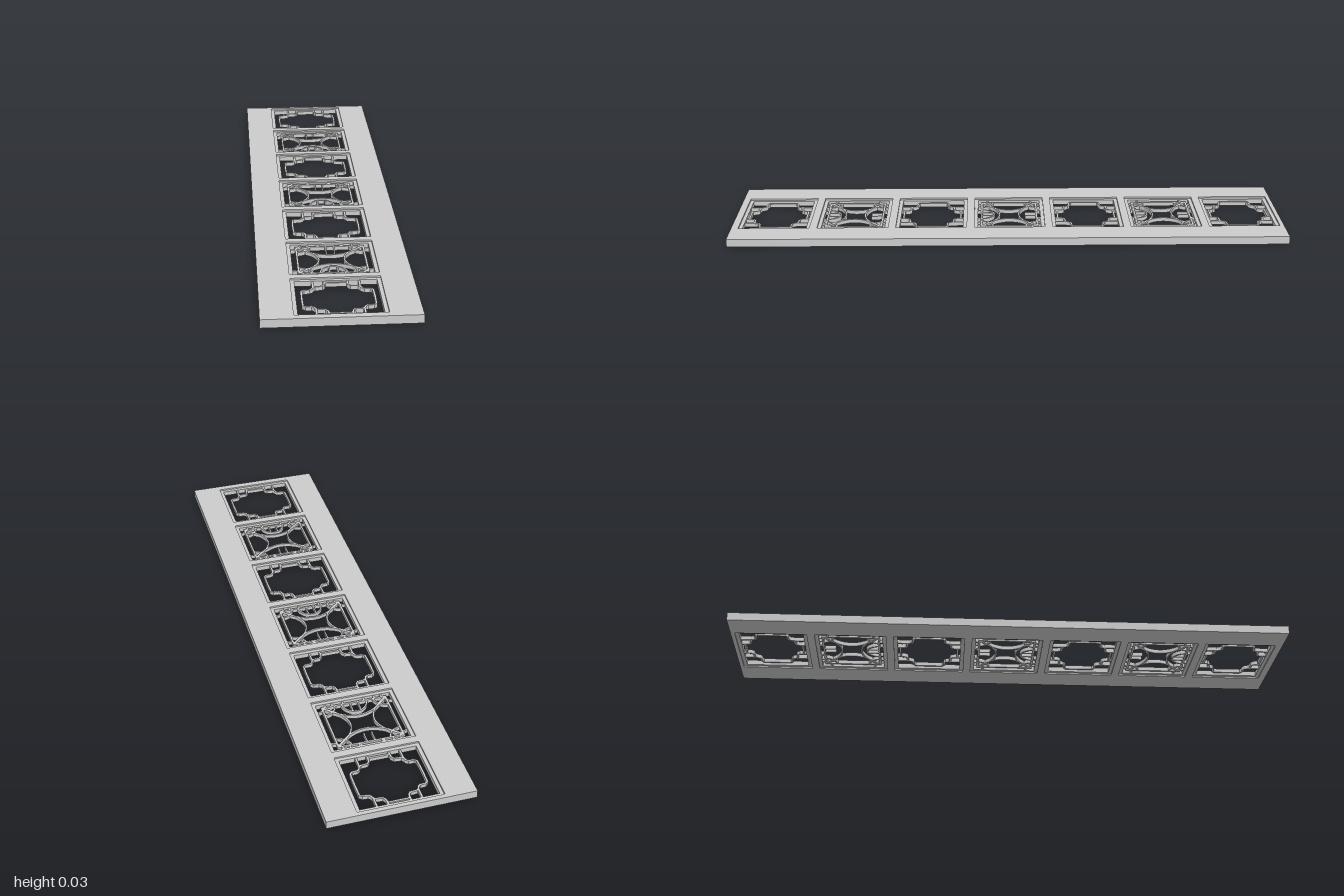
import * as THREE from 'three';

const material = new THREE.MeshStandardMaterial({ color: 0xcccccc, flatShading: true });
const V = (x, y) => new THREE.Vector2(x, y);
const PITCH = 0.284, HOLE_X = 0.147, HOLE_Z = 0.128, OFFSET = 0.005;

function rect(hx, hy, cy = 0, Type = THREE.Shape) {
  return new Type([V(-hx, cy - hy), V(hx, cy - hy), V(hx, cy + hy), V(-hx, cy + hy)]);
}

// Extrude a plan outline upward from y0 to y1
function slab(name, shapes, y0, y1) {
  const g = new THREE.ExtrudeGeometry(shapes, { depth: y1 - y0, bevelEnabled: false });
  g.rotateX(-Math.PI / 2);
  g.translate(0, y0, 0);
  const mesh = new THREE.Mesh(g, material);
  mesh.name = name;
  return mesh;
}

// Flat strip of constant width following a line of plan points
function strip(points, w = 0.007) {
  const left = [], right = [];
  points.forEach((p, i) => {
    const a = points[Math.max(i - 1, 0)], b = points[Math.min(i + 1, points.length - 1)];
    const n = V(a.y - b.y, b.x - a.x).normalize().multiplyScalar(w / 2);
    left.push(p.clone().add(n));
    right.unshift(p.clone().sub(n));
  });
  return new THREE.Shape([...left, ...right]);
}

function arc(cx, cy, rx, ry, a0, a1, n = 14) {
  return new THREE.EllipseCurve(cx, cy, rx, ry, a0, a1).getPoints(n);
}

function bow(a, b, c) {
  return new THREE.QuadraticBezierCurve(a, b, c).getPoints(16);
}

// Repeat a line in all four quadrants
function quadrants(points, w) {
  return [[1, 1], [-1, 1], [-1, -1], [1, -1]].map(([sx, sy]) =>
    strip(points.map(p => V(p.x * sx, p.y * sy)), w));
}

function ring(hx, hy, w) {
  const s = rect(hx, hy);
  s.holes.push(rect(hx - w, hy - w, 0, THREE.Path));
  return s;
}

// Open panel: rounded outline with stepped corners
function openPanel() {
  const group = new THREE.Group();
  group.name = 'openPanel';
  const outline = [V(0, 0.105), V(0.034, 0.105), V(0.038, 0.1), V(0.039, 0.09), V(0.046, 0.081),
    V(0.07, 0.079), V(0.077, 0.073), V(0.08, 0.064), V(0.088, 0.058), V(0.107, 0.057),
    V(0.115, 0.05), V(0.116, 0)];
  group.add(slab('outlineBars', quadrants(outline), 0.007, 0.021));
  const tabs = [
    ...quadrants([V(0.038, 0.12), V(0.038, 0.1)]),
    ...quadrants([V(0.076, 0.12), V(0.076, 0.074)]),
  ];
  group.add(slab('tabs', tabs, 0.007, 0.021));
  return group;
}

// Ornate panel: crossing arcs inside a square border
function ornatePanel() {
  const group = new THREE.Group();
  group.name = 'ornatePanel';
  group.add(slab('innerBorder', ring(0.118, 0.105, 0.007), 0.007, 0.021));
  const arcs = [];
  for (const s of [-1, 1]) {
    arcs.push(strip(bow(V(s * 0.115, -0.1), V(s * -0.03, 0), V(s * 0.115, 0.1)), 0.006));
    arcs.push(strip(bow(V(-0.115, s * 0.1), V(0, s * -0.03), V(0.115, s * 0.1)), 0.006));
    arcs.push(strip(arc(0, s * 0.105, 0.045, 0.05, 0, -s * Math.PI), 0.006));
  }
  group.add(slab('crossingArcs', arcs, 0.007, 0.021));
  group.add(slab('cornerScrolls', [
    ...quadrants(arc(0.118, 0.105, 0.05, 0.045, Math.PI, Math.PI * 1.5), 0.006),
    ...quadrants(bow(V(0.135, 0.08), V(0.1, 0.085), V(0.1, 0.118)), 0.006),
  ], 0.007, 0.021));
  group.add(slab('tabs', [
    ...quadrants([V(0.038, 0.12), V(0.038, 0.098)]),
    ...quadrants([V(0.076, 0.12), V(0.076, 0.098)]),
    ...quadrants([V(0.014, 0.105), V(0.014, 0.058)], 0.005),
  ], 0.007, 0.021));
  return group;
}

export function createModel() {
  const model = new THREE.Group();
  model.name = 'latticePanelBoard';

  // Board with seven window openings
  const board = rect(0.2525, 1);
  for (let i = -3; i <= 3; i++) board.holes.push(rect(HOLE_X, HOLE_Z, i * PITCH + OFFSET, THREE.Path));
  model.add(slab('board', board, 0, 0.029));

  // Open and ornate panels alternate along the board
  for (let i = -3; i <= 3; i++) {
    const panel = i % 2 ? openPanel() : ornatePanel();
    panel.add(slab('windowFrame', ring(HOLE_X, HOLE_Z, 0.013), 0.005, 0.023));
    panel.position.z = i * PITCH - OFFSET;
    model.add(panel);
  }
  return model;
}
